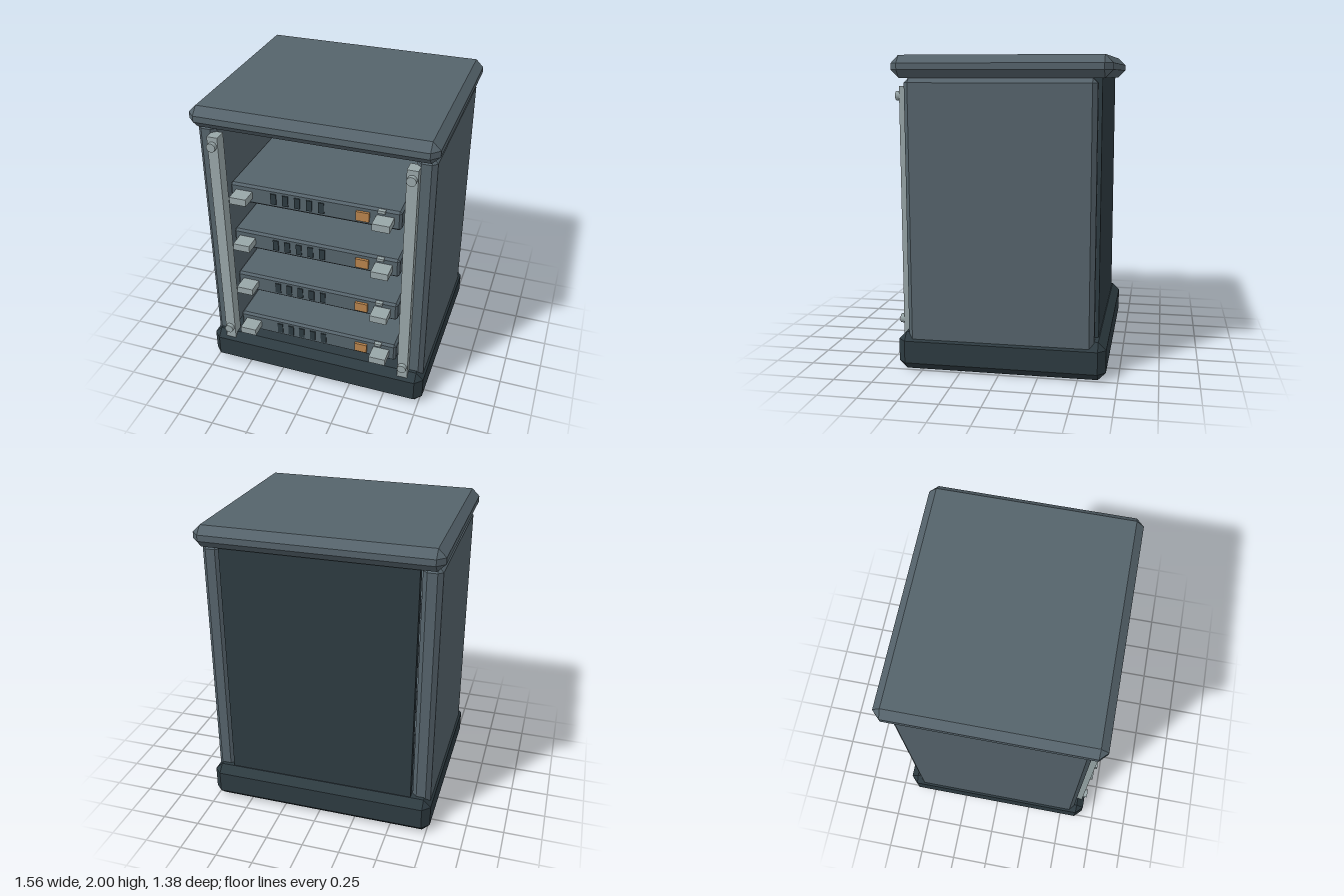
import * as THREE from 'three';
import { ConvexGeometry } from 'three/addons/geometries/ConvexGeometry.js';

const material = (name, color) => {
  const m = new THREE.MeshStandardMaterial({ color });
  m.name = name;
  return m;
};

// Box between two corners; with c > 0 every edge and corner is cut by c
function boxGeometry([x0, y0, z0], [x1, y1, z1], c = 0) {
  const half = [(x1 - x0) / 2, (y1 - y0) / 2, (z1 - z0) / 2];
  let geometry;
  if (c > 0) {
    const points = [];
    for (const sx of [-1, 1]) for (const sy of [-1, 1]) for (const sz of [-1, 1]) {
      for (let axis = 0; axis < 3; axis++) {
        const p = half.map((h, i) => (i === axis ? h : h - c));
        points.push(new THREE.Vector3(sx * p[0], sy * p[1], sz * p[2]));
      }
    }
    geometry = new ConvexGeometry(points);
  } else {
    geometry = new THREE.BoxGeometry(...half.map((h) => h * 2));
  }
  return geometry.translate((x0 + x1) / 2, (y0 + y1) / 2, (z0 + z1) / 2);
}

export function createModel() {
  const slate = material('slate grey', 0x55636b);
  const dark = material('dark slate', 0x2d3a40);
  const metal = material('pale metal', 0x98a6a8);
  const amber = material('amber', 0xb8834c);

  const model = new THREE.Group();
  model.name = 'equipmentRack';
  const add = (parent, name, geometry, mat) => {
    const mesh = new THREE.Mesh(geometry, mat);
    mesh.name = name;
    parent.add(mesh);
    return mesh;
  };
  const box = (parent, name, mat, min, max, c) => add(parent, name, boxGeometry(min, max, c), mat);

  // Cabinet shell
  box(model, 'base', dark, [-0.77, 0, -0.675], [0.77, 0.245, 0.66], 0.05);
  box(model, 'topCap', slate, [-0.78, 1.86, -0.69], [0.78, 2, 0.67], 0.05);
  box(model, 'backPanel', dark, [-0.63, 0.15, -0.62], [0.63, 1.87, -0.57]);

  // Side walls, mounting rails and their screws
  for (const side of [-1, 1]) {
    const label = side > 0 ? 'left' : 'right';
    const span = (a, b) => (side > 0 ? [a, b] : [-b, -a]);
    const [w0, w1] = span(0.635, 0.757);
    box(model, label + 'Wall', slate, [w0, 0.12, -0.6], [w1, 1.862, 0.59], 0.03);
    const [r0, r1] = span(0.595, 0.665);
    box(model, label + 'Rail', metal, [r0, 0.15, 0.56], [r1, 1.81, 0.642]);
    for (const y of [0.305, 1.75]) {
      const screw = new THREE.CylinderGeometry(0.03, 0.03, 0.03, 16);
      screw.rotateX(Math.PI / 2).translate(side * 0.63, y, 0.655);
      add(model, label + 'RailScrew', screw, metal);
    }
  }

  // Four sliding units, each with handles, vents and an indicator
  for (let i = 0; i < 4; i++) {
    const unit = new THREE.Group();
    unit.name = 'rackUnit' + (i + 1);
    unit.position.y = 0.348 + i * 0.3535;
    model.add(unit);
    box(unit, 'unitBody', slate, [-0.565, -0.067, -0.5], [0.565, 0.067, 0.585], 0.015);
    box(unit, 'rightHandle', metal, [-0.523, -0.024, 0.58], [-0.412, 0.024, 0.69]);
    box(unit, 'leftHandle', metal, [0.408, -0.024, 0.58], [0.52, 0.024, 0.69]);
    box(unit, 'latchTab', metal, [0.418, 0.045, 0.57], [0.465, 0.064, 0.6]);
    box(unit, 'indicator', amber, [0.28, -0.033, 0.58], [0.365, 0.031, 0.602]);
    for (let v = 0; v < 5; v++) {
      const x = -0.268 + v * 0.08;
      box(unit, 'ventSlot', dark, [x - 0.019, -0.037, 0.583], [x + 0.019, 0.037, 0.592]);
    }
  }
  return model;
}
